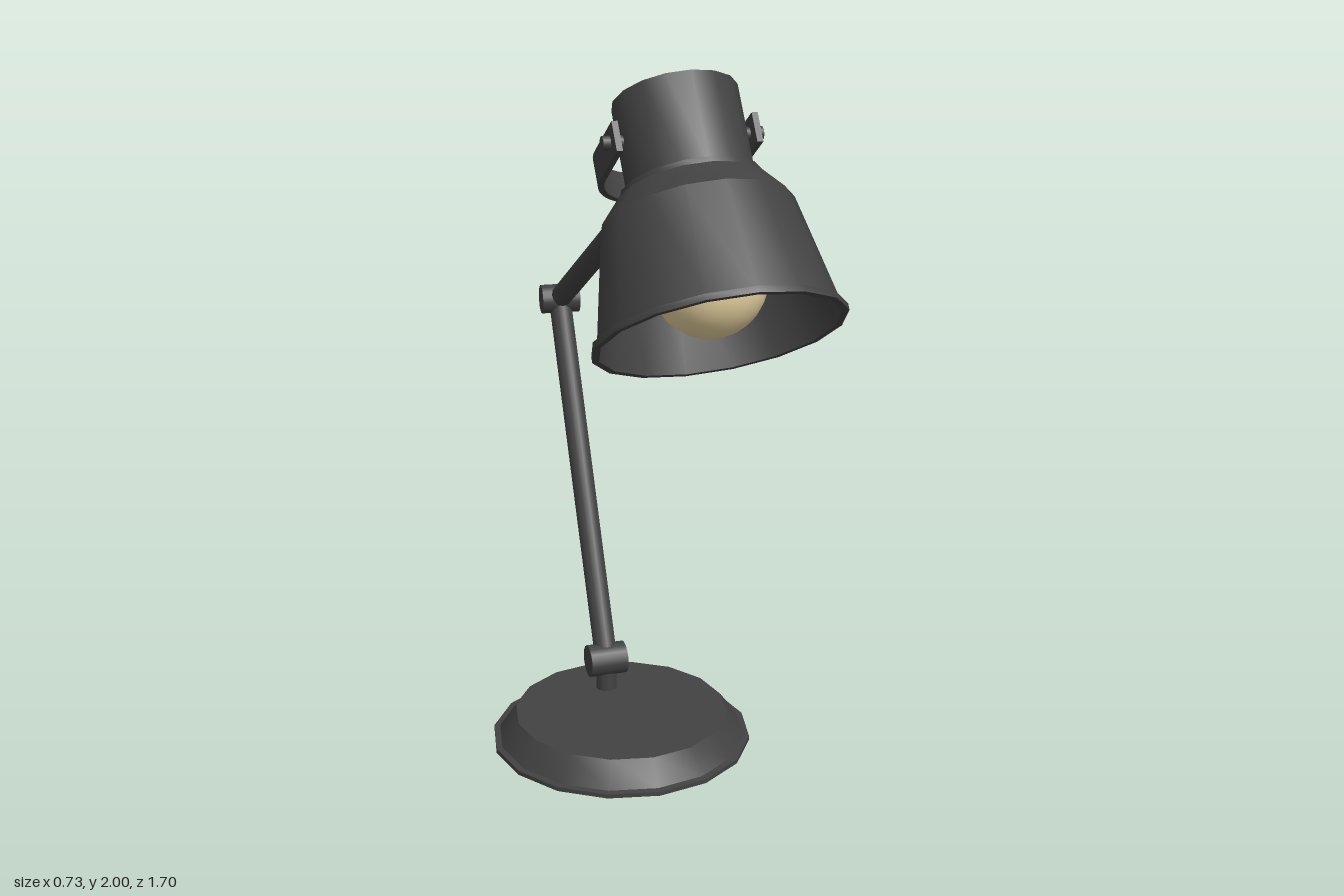
import * as THREE from 'three';
import { toCreasedNormals } from 'three/addons/utils/BufferGeometryUtils.js';

const darkMetal = new THREE.MeshStandardMaterial({ color: 0x424242 });
darkMetal.name = 'dark metal';
const warmGlass = new THREE.MeshStandardMaterial({ color: 0xe8d3a0 });
warmGlass.name = 'warm glass';

function part(name, geometry, parent, material = darkMetal) {
  const mesh = new THREE.Mesh(geometry, material);
  mesh.name = name;
  parent.add(mesh);
  return mesh;
}

// Turned part: profile runs from the bottom centre, outwards and up
function turned(profile, sides = 16) {
  const points = profile.map(([r, y]) => new THREE.Vector2(r, y));
  return toCreasedNormals(new THREE.LatheGeometry(points, sides), 0.45);
}

// Round bar between two points given as [y, z] on the centre plane
function bar(name, [y0, z0], [y1, z1], radius, parent) {
  const a = new THREE.Vector3(0, y0, z0);
  const b = new THREE.Vector3(0, y1, z1);
  const mesh = part(name, new THREE.CylinderGeometry(radius, radius, a.distanceTo(b), 12), parent);
  mesh.position.copy(a).lerp(b, 0.5);
  mesh.quaternion.setFromUnitVectors(new THREE.Vector3(0, 1, 0), b.sub(a).normalize());
}

// Round pin lying across the model
function crossPin(name, radius, length, [x, y, z], parent, sides = 16) {
  const mesh = part(name, new THREE.CylinderGeometry(radius, radius, length, sides).rotateZ(Math.PI / 2), parent);
  mesh.position.set(x, y, z);
  return mesh;
}

export function createModel() {
  const lamp = new THREE.Group();
  lamp.name = 'deskLamp';

  // Base with a thin flange
  const base = part('base', turned([
    [0, 0], [0.365, 0], [0.365, 0.012], [0.348, 0.014], [0.3, 0.082], [0, 0.082],
  ]), lamp);
  base.position.z = -0.193;

  // Jointed arm
  const foot = [0.17, -0.34];
  const elbow = [1.125, -0.803];
  bar('post', [0.07, -0.337], foot, 0.03, lamp);
  bar('lowerArm', foot, elbow, 0.033, lamp);
  bar('upperArm', elbow, [1.655, 0.085], 0.032, lamp);
  crossPin('footJoint', 0.046, 0.108, [0, ...foot], lamp);
  crossPin('elbowJoint', 0.042, 0.11, [0, ...elbow], lamp).rotation.y = -0.1;

  // Tilted head, its origin at the centre of the cap top
  const head = new THREE.Group();
  head.name = 'head';
  head.position.set(0, 1.91, 0.26);
  head.rotation.x = -0.614;
  lamp.add(head);

  part('cap', turned([[0, -0.235], [0.152, -0.235], [0.152, 0], [0, 0]]), head);
  part('collar', turned([[0, -0.245], [0.17, -0.245], [0.17, -0.222], [0, -0.222]]), head);

  // Hollow shade: inside surface, rim lip, then outside surface
  part('shade', turned([
    [0, -0.25], [0.165, -0.25], [0.218, -0.307], [0.284, -0.595],
    [0.3, -0.595], [0.3, -0.58], [0.287, -0.578],
    [0.23, -0.302], [0.177, -0.237], [0, -0.237],
  ]), head);

  // Bulb and its socket
  part('bulb', new THREE.SphereGeometry(0.137, 24, 16), head, warmGlass).position.y = -0.456;
  part('socket', new THREE.CylinderGeometry(0.06, 0.06, 0.1, 16), head).position.y = -0.295;

  // U-shaped yoke around the back of the cap
  const outer = 0.179, inner = 0.164, bend = 0.122, tip = -0.05, width = 0.075;
  const u = new THREE.Shape();
  u.moveTo(outer, tip);
  u.lineTo(outer, bend);
  u.absarc(0, bend, outer, 0, Math.PI, false);
  u.lineTo(-outer, tip);
  u.lineTo(-inner, tip);
  u.lineTo(-inner, bend);
  u.absarc(0, bend, inner, Math.PI, 0, true);
  u.lineTo(inner, tip);
  const strap = new THREE.ExtrudeGeometry(u, { depth: width, bevelEnabled: false, curveSegments: 14 });
  strap.rotateX(-Math.PI / 2);
  part('yoke', toCreasedNormals(strap, 0.45), head).position.y = -0.108 - width / 2;

  // Pivot bolts
  for (const side of [1, -1]) {
    crossPin(side > 0 ? 'leftBolt' : 'rightBolt', 0.017, 0.055, [side * 0.17, -0.105, 0.004], head, 10);
  }
  return lamp;
}
